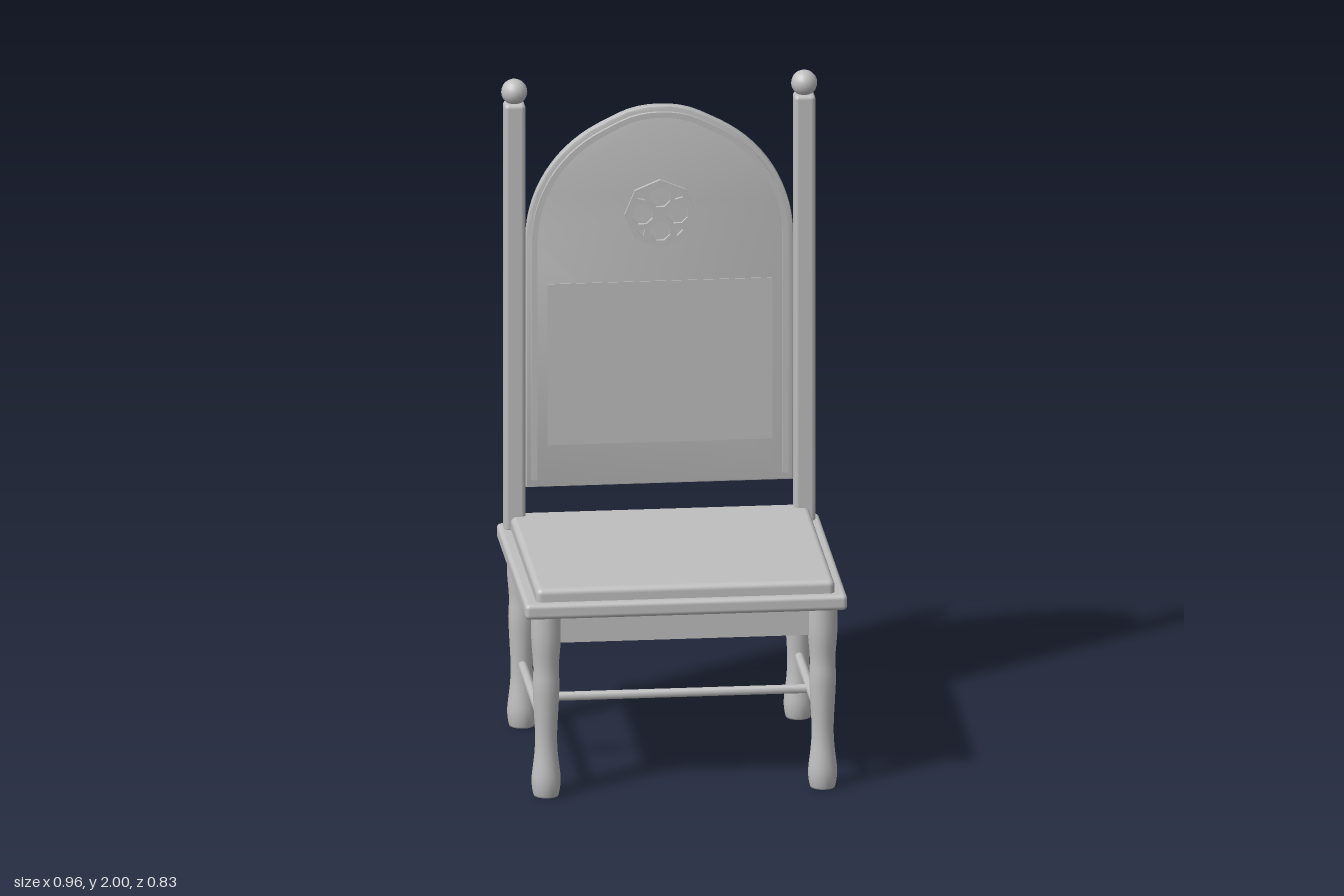
import * as THREE from 'three';
import { RoundedBoxGeometry } from 'three/addons/geometries/RoundedBoxGeometry.js';
import { toCreasedNormals } from 'three/addons/utils/BufferGeometryUtils.js';

export function createModel() {
  const root = new THREE.Group();
  root.name = 'highBackChair';
  const grey = new THREE.MeshStandardMaterial({ color: 0xbfbfbf });
  grey.name = 'plain grey';

  const add = (name, geometry, x = 0, y = 0, z = 0) => {
    const mesh = new THREE.Mesh(geometry, grey);
    mesh.name = name;
    mesh.position.set(x, y, z);
    root.add(mesh);
    return mesh;
  };
  const extrude = (shape, depth, bevel = 0) => toCreasedNormals(new THREE.ExtrudeGeometry(shape, {
    depth: depth - 2 * bevel, bevelEnabled: bevel > 0, bevelSize: bevel,
    bevelThickness: bevel, bevelOffset: -bevel, bevelSegments: 2,
  }), 0.6);

  // Seat: frame, cushion and apron
  add('seatFrame', new RoundedBoxGeometry(0.96, 0.048, 0.83, 3, 0.014), 0, 0.586, -0.003);
  add('cushion', new RoundedBoxGeometry(0.89, 0.06, 0.775, 4, 0.018), 0, 0.62, 0);
  add('apron', new THREE.BoxGeometry(0.84, 0.095, 0.72), 0, 0.5225, 0);

  // Turned legs
  const legProfile = new THREE.SplineCurve([
    [0.037, 0], [0.042, 0.025], [0.043, 0.06], [0.035, 0.13], [0.033, 0.19],
    [0.037, 0.27], [0.040, 0.34], [0.038, 0.40], [0.044, 0.48], [0.044, 0.565],
  ].map(([r, y]) => new THREE.Vector2(r, y))).getPoints(30);
  const leg = new THREE.LatheGeometry([new THREE.Vector2(0, 0), ...legProfile], 16);

  // Back posts with ball finials
  const post = new RoundedBoxGeometry(0.064, 1.33, 0.064, 2, 0.014);
  const ball = new THREE.SphereGeometry(0.039, 16, 12);
  const sideBar = new THREE.CylinderGeometry(0.014, 0.014, 0.66, 8);
  for (const [side, s] of [['left', 1], ['right', -1]]) {
    add(side + 'FrontLeg', leg, s * 0.412, 0, 0.348);
    add(side + 'BackLeg', leg, s * 0.412, 0, -0.346);
    add(side + 'Post', post, s * 0.432, 1.265, -0.368);
    add(side + 'Finial', ball, s * 0.432, 1.961, -0.368);
    add(side + 'Stretcher', sideBar, s * 0.412, 0.195, 0).rotation.x = Math.PI / 2;
  }
  add('crossStretcher', new THREE.CylinderGeometry(0.014, 0.014, 0.82, 8), 0, 0.195, 0)
    .rotation.z = Math.PI / 2;

  // Arch outline from the right foot over a slightly raised crest to the left foot
  const arch = (inset, bottom) => {
    const points = [new THREE.Vector2(0.398 - inset, bottom)];
    for (let i = 0; i <= 40; i++) {
      const a = Math.PI * i / 40;
      const x = Math.cos(a);
      const crest = 0.012 * Math.exp(-Math.pow(x / 0.33, 4));
      points.push(new THREE.Vector2(x * (0.398 - inset), 1.5 + Math.sin(a) * (0.395 - inset) + crest));
    }
    points.push(new THREE.Vector2(-0.398 + inset, bottom));
    return points;
  };

  // Back panel and its raised trim
  add('backPanel', extrude(new THREE.Shape(arch(0, 0.735)), 0.033, 0.005), 0, 0, -0.38);
  const band = [...arch(0.016, 0.76), ...arch(0.033, 0.76).reverse()];
  add('archTrim', extrude(new THREE.Shape(band), 0.018), 0, 0, -0.358);
  add('backPad', new THREE.BoxGeometry(0.67, 0.5, 0.006), 0, 1.115, -0.352);

  // Octagonal tracery: four lobes with small openings between them
  const ngon = (n, r, cx, cy, turn) => Array.from({ length: n }, (_, i) => {
    const a = turn + i * 2 * Math.PI / n;
    return new THREE.Vector2(cx + r * Math.cos(a), cy + r * Math.sin(a));
  });
  const tracery = new THREE.Shape(ngon(8, 0.106, 0, 0, 0));
  for (let i = 0; i < 4; i++) {
    const a = i * Math.PI / 2;
    const d = a + Math.PI / 4;
    tracery.holes.push(new THREE.Path(ngon(8, 0.032, 0.052 * Math.cos(a), 0.052 * Math.sin(a), Math.PI / 8)));
    tracery.holes.push(new THREE.Path(ngon(3, 0.015, 0.077 * Math.cos(d), 0.077 * Math.sin(d), d + Math.PI)));
  }
  add('rosette', extrude(tracery, 0.014), 0, 1.575, -0.354);

  return root;
}
